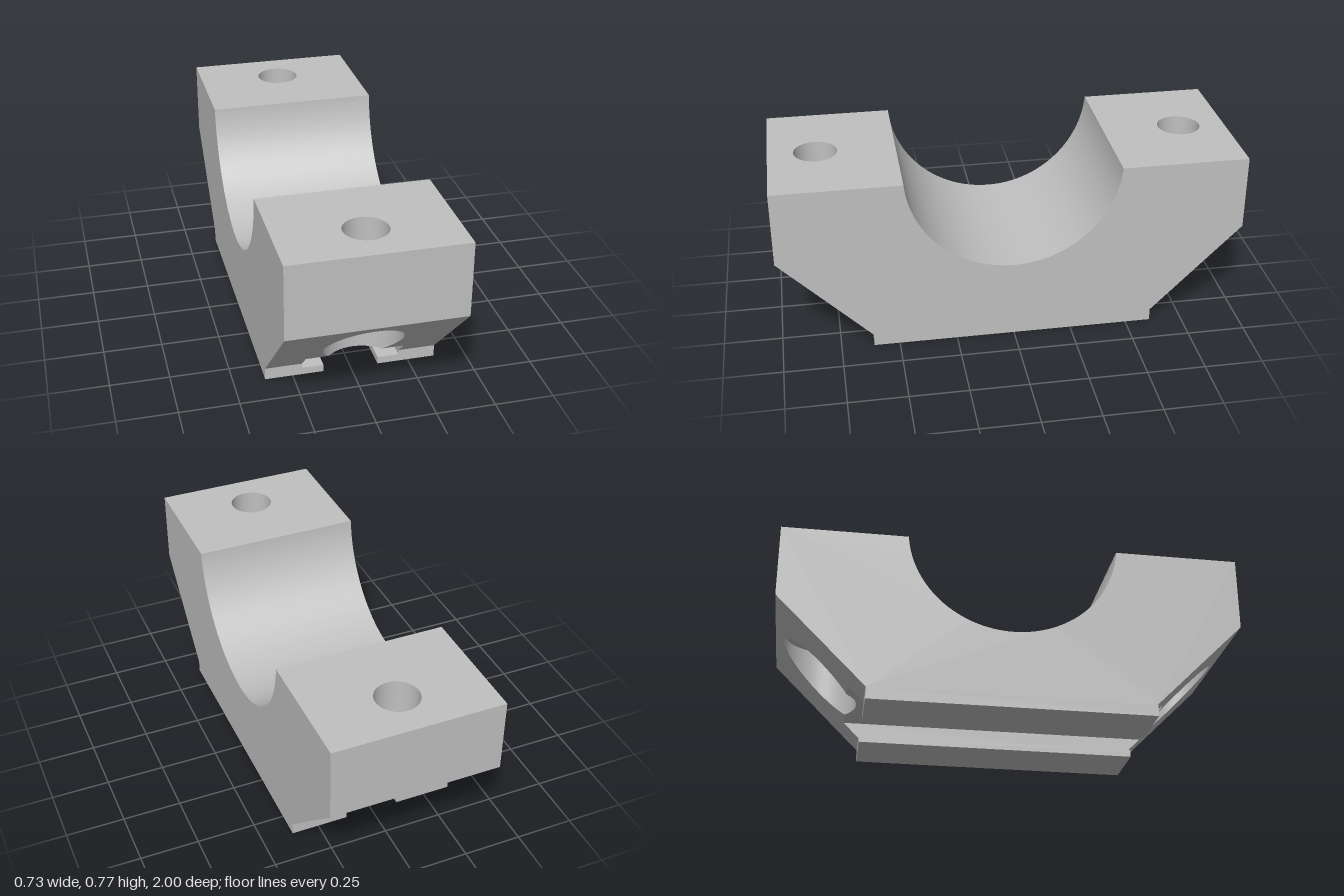
import * as THREE from 'three';

// Main dimensions
const W = 0.367, TOP = 0.767;              // half width, height
const LIP_Z = 0.61, LIP_Y = 0.053;         // short vertical lip at the foot
const KNEE_Y = 0.443, SLOPE = 0.557;       // 45 degree underside: z = y + SLOPE
const CRADLE_R = 0.458, CRADLE_Y = 0.803;  // half-round saddle
const NECK = 0.118, SLOT = 0.21, RAIL_Y = 0.032, CEIL_Y = 0.122; // T-slot
const BOLT_Z = 0.797, HOLE_R = 0.093, BORE_R = 0.163, SHOULDER_Y = 0.44;
const CEIL_Z = CEIL_Y + SLOPE;
const BITE = Math.asin((CEIL_Z - BOLT_Z) / BORE_R); // where bore meets slot ceiling

const steel = new THREE.MeshStandardMaterial({ color: 0xc0c0c0, side: THREE.DoubleSide });
steel.name = 'plain grey';

function add(parent, name, geometry) {
  const mesh = new THREE.Mesh(geometry, steel);
  mesh.name = name;
  parent.add(mesh);
  return mesh;
}

// Flat face: a 2D shape whose points are placed in space by a rule
function face(parent, name, shape, place) {
  const g = new THREE.ShapeGeometry(shape, 48), p = g.attributes.position;
  for (let i = 0; i < p.count; i++) p.setXYZ(i, ...place(p.getX(i), p.getY(i)));
  g.computeVertexNormals();
  return add(parent, name, g);
}

const poly = (...pts) => new THREE.Shape(pts.map(([x, y]) => new THREE.Vector2(x, y)));
const rect = (x0, y0, x1, y1) => poly([x0, y0], [x1, y0], [x1, y1], [x0, y1]);
const circle = (x, y, r) => new THREE.Path().absarc(x, y, r, 0, Math.PI * 2, false);

function sideProfile() {
  const a = Math.asin((TOP - CRADLE_Y) / CRADLE_R);
  const s = new THREE.Shape();
  s.moveTo(-LIP_Z, 0).lineTo(LIP_Z, 0).lineTo(LIP_Z, LIP_Y).lineTo(1, KNEE_Y).lineTo(1, TOP);
  s.absarc(0, CRADLE_Y, CRADLE_R, a, -Math.PI - a, true);
  s.lineTo(-1, TOP).lineTo(-1, KNEE_Y).lineTo(-LIP_Z, LIP_Y);
  return s;
}

// Underside slope, notched by the slot and the bolt counterbore
function slopeOutline() {
  const s = new THREE.Shape();
  s.moveTo(-W, LIP_Y).lineTo(-SLOT, LIP_Y).lineTo(-SLOT, CEIL_Y);
  s.absarc(0, BOLT_Z - SLOPE, BORE_R, Math.PI - BITE, BITE, true);
  s.lineTo(SLOT, CEIL_Y).lineTo(SLOT, LIP_Y).lineTo(W, LIP_Y).lineTo(W, KNEE_Y).lineTo(-W, KNEE_Y);
  return s;
}

// Slot ceiling, bitten by the counterbore at both ends
function ceilingOutline() {
  const s = new THREE.Shape();
  s.moveTo(-SLOT, CEIL_Z);
  s.absarc(0, BOLT_Z, BORE_R, -Math.PI - BITE, BITE, false);
  s.lineTo(SLOT, CEIL_Z).lineTo(SLOT, -CEIL_Z);
  s.absarc(0, -BOLT_Z, BORE_R, -BITE, Math.PI + BITE, false);
  s.lineTo(-SLOT, -CEIL_Z);
  return s;
}

// Upright open tube around the bolt axis
function tube(r, y0, y1) {
  return new THREE.CylinderGeometry(r, r, y1 - y0, 96, 1, true).translate(0, (y0 + y1) / 2, BOLT_Z);
}

function makeEnd() {
  const end = new THREE.Group();
  const pad = rect(-W, Math.sqrt(CRADLE_R ** 2 - (CRADLE_Y - TOP) ** 2), W, 1);
  pad.holes.push(circle(0, BOLT_Z, HOLE_R));
  face(end, 'topPad', pad, (x, z) => [x, TOP, z]);
  face(end, 'endFace', rect(-W, KNEE_Y, W, TOP), (x, y) => [x, y, 1]);
  face(end, 'slopedUnderside', slopeOutline(), (x, y) => [x, y, y + SLOPE]);
  for (const s of [-1, 1]) {
    const lip = poly([NECK, 0], [W, 0], [W, LIP_Y], [SLOT, LIP_Y], [SLOT, RAIL_Y], [NECK, RAIL_Y]);
    face(end, 'footLip', lip, (x, y) => [s * x, y, LIP_Z]);
  }

  // Bolt hole with a counterbore trimmed to the slope and slot
  add(end, 'boltHole', tube(HOLE_R, SHOULDER_Y, TOP));
  const bore = tube(BORE_R, 0, SHOULDER_Y), p = bore.attributes.position;
  for (let i = 0; i < p.count; i++) {
    if (p.getY(i) < 0.01) p.setY(i, Math.max(CEIL_Y, p.getZ(i) - SLOPE));
  }
  add(end, 'counterbore', bore);
  add(end, 'boltShoulder', new THREE.RingGeometry(HOLE_R, BORE_R, 96)
    .rotateX(Math.PI / 2).translate(0, SHOULDER_Y, BOLT_Z));
  return end;
}

export function createModel() {
  const model = new THREE.Group();
  model.name = 'saddleClamp';

  // Matching ends
  for (const [name, turn] of [['frontEnd', 0], ['backEnd', Math.PI]]) {
    const end = makeEnd();
    end.name = name;
    end.rotation.y = turn;
    model.add(end);
  }

  // Half-round saddle
  const a = Math.acos((CRADLE_Y - TOP) / CRADLE_R);
  const saddle = new THREE.CylinderGeometry(CRADLE_R, CRADLE_R, 2 * W, 96, 1, true, Math.PI / 2 - a, 2 * a);
  saddle.rotateZ(-Math.PI / 2).translate(0, CRADLE_Y, 0);
  add(model, 'saddle', saddle);

  // Side walls and T-slot rails
  const slotWall = poly([-LIP_Z, RAIL_Y], [LIP_Z, RAIL_Y], [LIP_Z, LIP_Y], [CEIL_Z, CEIL_Y],
    [-CEIL_Z, CEIL_Y], [-LIP_Z, LIP_Y]);
  for (const s of [-1, 1]) {
    face(model, 'sideWall', sideProfile(), (z, y) => [s * W, y, z]);
    face(model, 'slotWall', slotWall, (z, y) => [s * SLOT, y, z]);
    face(model, 'neckWall', rect(-LIP_Z, 0, LIP_Z, RAIL_Y), (z, y) => [s * NECK, y, z]);
    face(model, 'railTop', rect(NECK, -LIP_Z, SLOT, LIP_Z), (x, z) => [s * x, RAIL_Y, z]);
    face(model, 'railBottom', rect(NECK, -LIP_Z, W, LIP_Z), (x, z) => [s * x, 0, z]);
  }
  face(model, 'slotCeiling', ceilingOutline(), (x, z) => [x, CEIL_Y, z]);
  return model;
}
